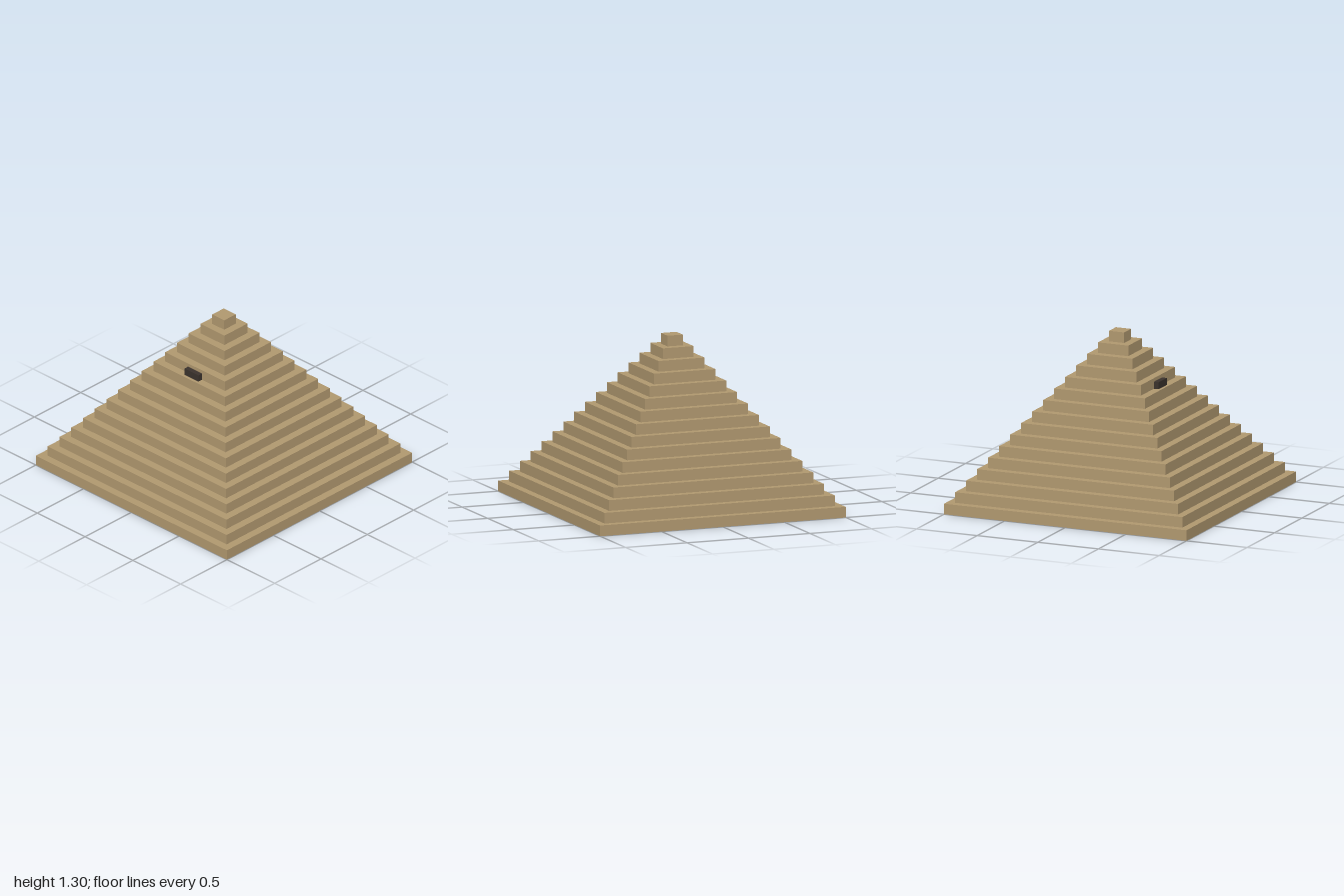
import * as THREE from 'three';

export function createModel() {
  const sandstone = new THREE.MeshStandardMaterial({ name: 'sandstone', color: 0xb0986f });
  const darkStone = new THREE.MeshStandardMaterial({ name: 'darkStone', color: 0x3a322c });

  const TIERS = 16;
  const BASE = 2;
  const TIER_HEIGHT = 0.0815;

  const model = new THREE.Group();
  model.name = 'stepPyramid';

  function addBlock(parent, name, material, [w, h, d], [x, y, z]) {
    const mesh = new THREE.Mesh(new THREE.BoxGeometry(w, h, d), material);
    mesh.name = name;
    mesh.position.set(x, y, z);
    parent.add(mesh);
  }

  // Square tiers, each one step narrower than the one below
  const tiers = new THREE.Group();
  tiers.name = 'tiers';
  const tierWidth = (i) => BASE * (1 - i / TIERS);
  for (let i = 0; i < TIERS; i++) {
    const width = tierWidth(i);
    addBlock(tiers, `tier${i + 1}`, sandstone, [width, TIER_HEIGHT, width], [0, (i + 0.5) * TIER_HEIGHT, 0]);
  }
  model.add(tiers);

  // Dark entrance block standing on a ledge against the front face
  const ledge = 11;
  const depth = 0.04;
  const height = 0.054;
  addBlock(model, 'entrance', darkStone, [0.147, height, depth],
    [0, ledge * TIER_HEIGHT + height / 2, tierWidth(ledge) / 2 + depth / 2]);

  return model;
}
